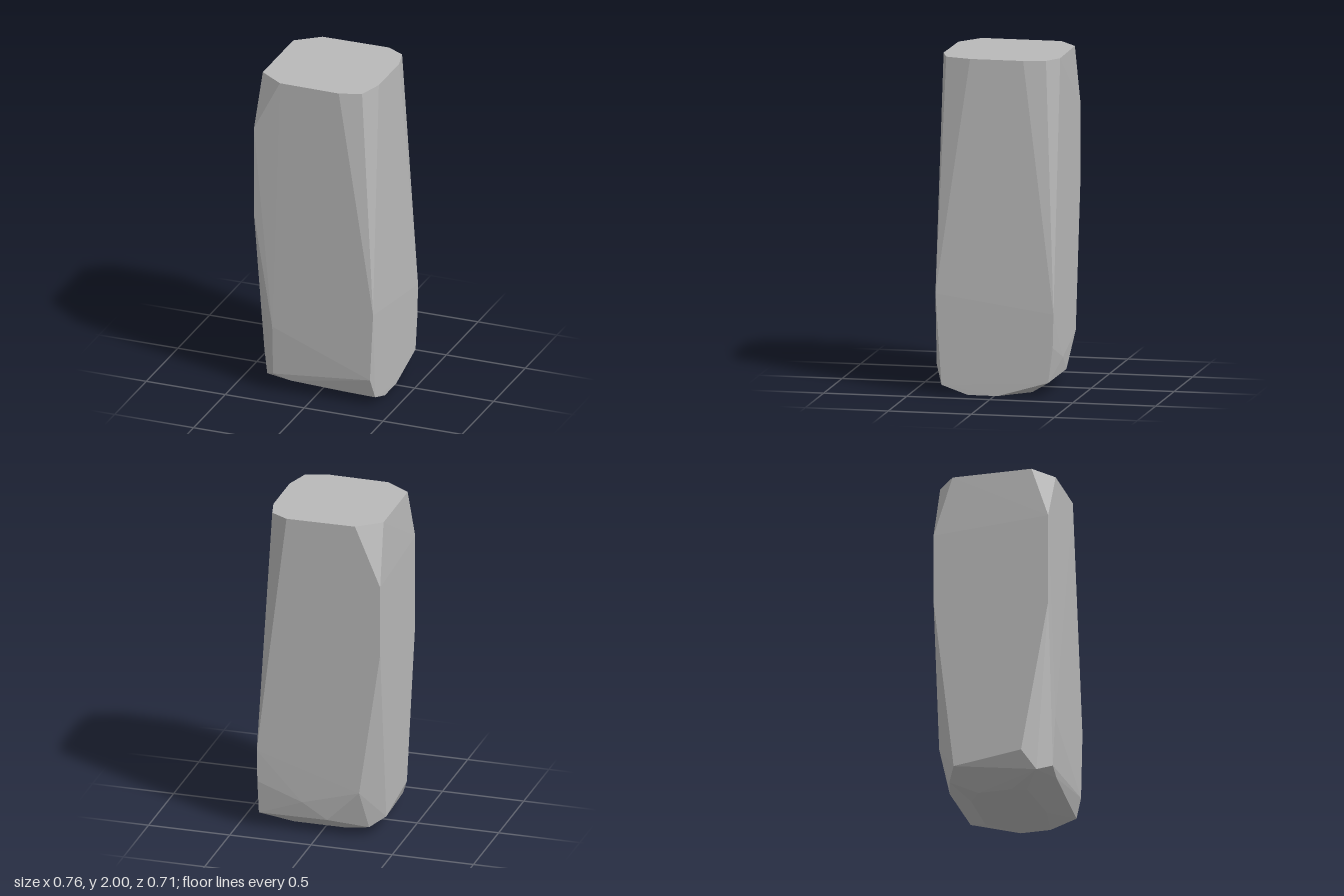
import * as THREE from 'three';
import { ConvexGeometry } from 'three/addons/geometries/ConvexGeometry.js';

const stone = new THREE.MeshStandardMaterial({ color: 0xb8b8b8 });
stone.name = 'stone grey';

// Flat top outline as x, z pairs at y = 2
const topOutline = [
  [-0.366, -0.24], [-0.225, -0.352], [0.195, -0.357], [0.302, -0.295], [0.335, -0.165],
  [0.335, 0.155], [0.29, 0.308], [0.16, 0.353], [-0.215, 0.347], [-0.366, 0.24],
];

// Ends of the sharp upright corner edges
const cornerEdges = [
  [-0.38, 1.68, 0.345], [-0.38, 1.12, 0.345],
  [-0.38, 1.63, -0.352], [-0.38, 1.2, -0.352],
  [0.378, 0.6, 0.354], [0.357, 0.175, 0.351],
  [0.378, 0.5, -0.357], [0.376, 0.3, -0.352],
];

// Chipped bevels around the foot
const footBevels = [
  [-0.26, 0.42, 0.356], [-0.26, 0.11, 0.342], [-0.15, 0.08, 0.335],
  [-0.33, 0.065, 0.26], [-0.38, 0.18, 0.18],
  [-0.38, 0.12, -0.23], [-0.25, 0.3, -0.352], [-0.29, 0.06, -0.28],
  [-0.05, 0.1, -0.34], [0.1, 0.2, -0.353], [0.375, 0.09, -0.325],
  [0.377, 0.055, 0.318],
];

// Flat underside outline as x, z pairs at y = 0
const baseOutline = [
  [0.375, -0.02], [0.375, 0.16], [0.13, 0.2], [-0.2, 0.17],
  [-0.23, 0.08], [-0.23, -0.12], [-0.12, -0.19], [0.2, -0.19],
];

export function createModel() {
  const points = [
    ...topOutline.map(([x, z]) => [x, 2, z]),
    ...cornerEdges,
    ...footBevels,
    ...baseOutline.map(([x, z]) => [x, 0, z]),
  ].map((p) => new THREE.Vector3(...p));

  // One faceted stone block wrapped around its corner points
  const pillar = new THREE.Mesh(new ConvexGeometry(points), stone);
  pillar.name = 'stonePillar';

  const model = new THREE.Group();
  model.name = 'stoneBlock';
  model.add(pillar);
  return model;
}
